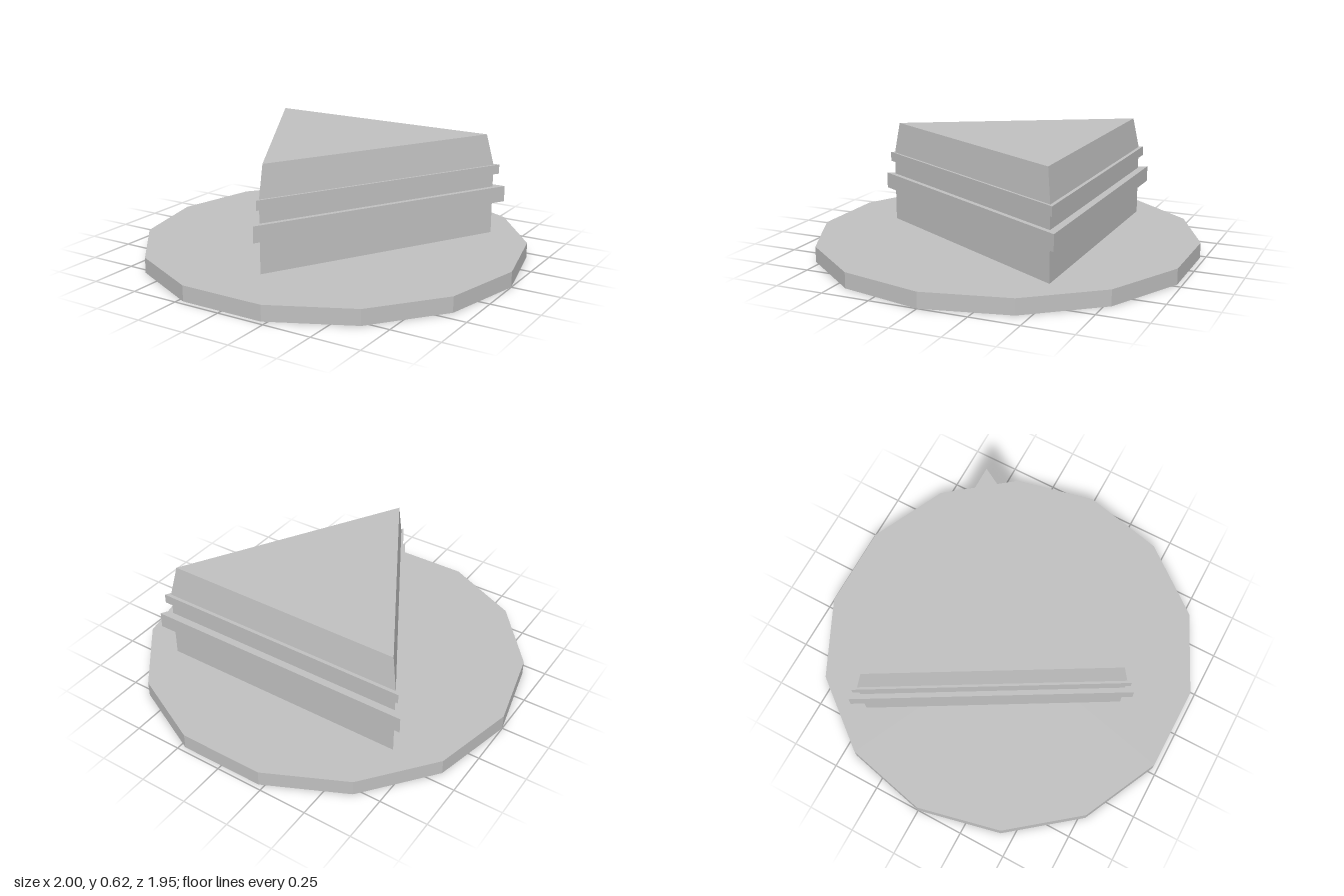
import * as THREE from 'three';

// Triangular layer: corners at (±r, -0.75r) and (0, r), from y0 to y1
function wedgeGeometry(rBottom, rTop, y0, y1) {
  const g = new THREE.CylinderGeometry(rTop, rBottom, y1 - y0, 3).toNonIndexed();
  const p = g.attributes.position;
  for (let i = 0; i < p.count; i++) {
    const r = p.getY(i) > 0 ? rTop : rBottom;
    p.setX(i, p.getX(i) / Math.sin(Math.PI / 3));
    p.setZ(i, p.getZ(i) * 7 / 6 - r / 6);
  }
  g.translate(0, (y0 + y1) / 2, 0);
  g.computeVertexNormals();
  return g;
}

export function createModel() {
  const model = new THREE.Group();
  model.name = 'sandwichOnPlate';
  const grey = new THREE.MeshStandardMaterial({ color: 0xc0c0c0, flatShading: true });
  grey.name = 'plain grey';

  const add = (name, geometry) => {
    const mesh = new THREE.Mesh(geometry, grey);
    mesh.name = name;
    model.add(mesh);
  };

  // Fourteen-sided plate with corners on the x axis
  const plate = new THREE.CylinderGeometry(1, 1, 0.08, 14, 1, false, Math.PI / 2);
  plate.translate(0, 0.04, 0);
  add('plate', plate);

  // Stacked layers: name, bottom size, top size, bottom y, top y
  const layers = [
    ['bottomBread', 0.667, 0.667, 0.08, 0.25],
    ['thickFilling', 0.719, 0.719, 0.25, 0.333],
    ['middleFilling', 0.667, 0.667, 0.333, 0.402],
    ['thinFilling', 0.692, 0.692, 0.402, 0.451],
    ['topBread', 0.667, 0.634, 0.451, 0.615],
  ];
  for (const [name, ...size] of layers) add(name, wedgeGeometry(...size));

  return model;
}
